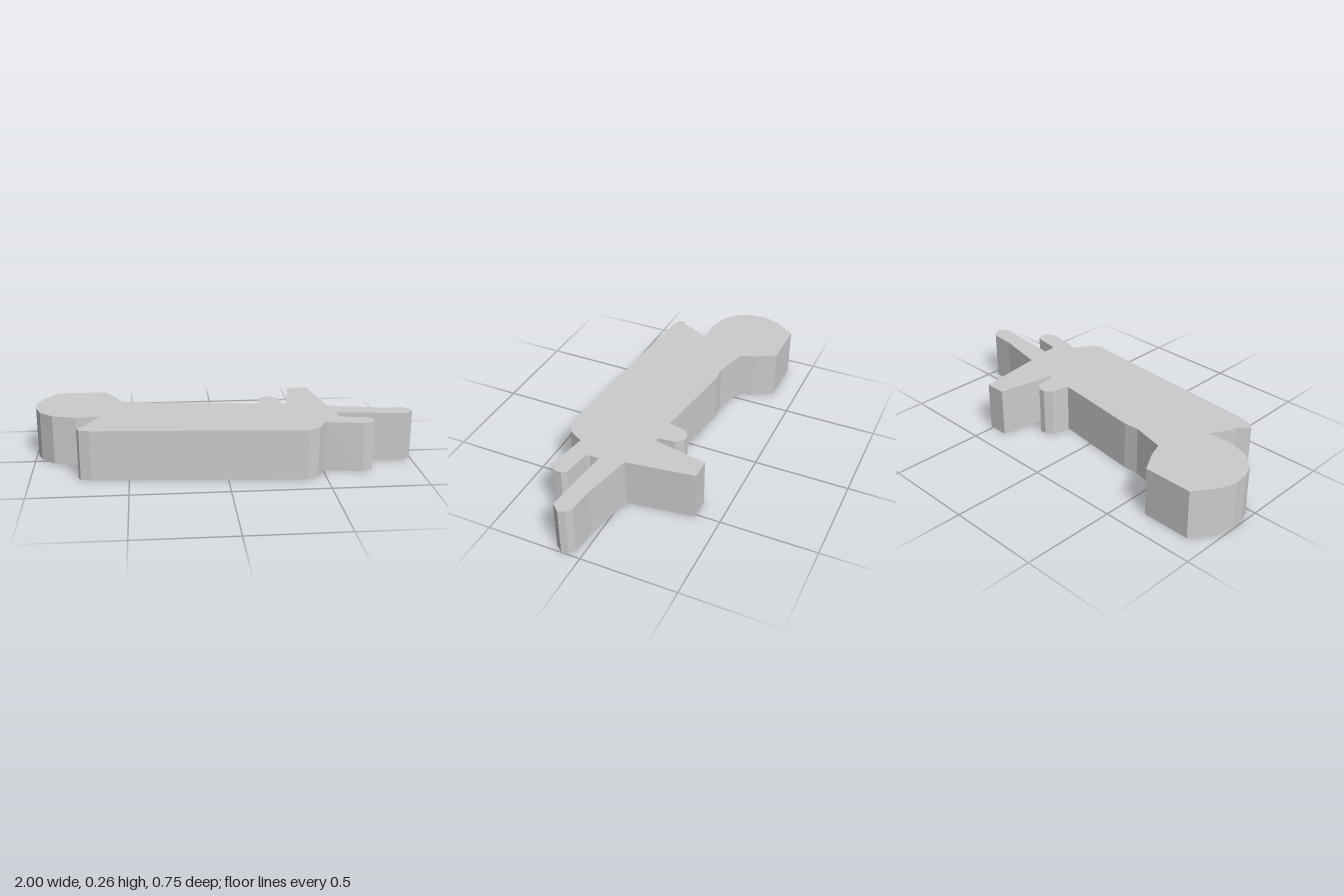
import * as THREE from 'three';

const HEIGHT = 0.263;

// Plan outline as [x, z] runs, followed around the plate.
const roundedEnd = [
  [-0.64, 0.063], [-0.77, 0.077], [-0.895, 0.04], [-0.965, -0.03], [-0.99, -0.095],
  [-1, -0.175], [-0.965, -0.27], [-0.89, -0.375], [-0.63, -0.375], [-0.57, -0.27], [-0.54, -0.19],
];
const backEdge = [[-0.365, -0.147], [-0.285, -0.153], [0.195, -0.092]];
const smallTab = [
  [0.215, -0.187], [0.25, -0.215], [0.285, -0.215], [0.32, -0.18], [0.33, -0.09], [0.35, -0.077],
];
const tallFin = [[0.405, -0.375], [0.515, -0.375], [0.565, -0.022]];
const longProng = [
  [0.83, 0.033], [0.96, 0.043], [0.99, 0.066], [1, 0.1], [0.965, 0.142], [0.59, 0.105],
];
const shortProng = [
  [0.59, 0.155], [0.6, 0.174], [0.74, 0.195], [0.76, 0.22], [0.757, 0.262], [0.7, 0.288], [0.505, 0.255],
];
const frontEdge = [[0.46, 0.338], [0.405, 0.37], [-0.69, 0.296]];
const frontCorner = [[-0.745, 0.278], [-0.757, 0.254], [-0.71, 0.203], [-0.7, 0.165]];

export function createModel() {
  const outline = [
    ...roundedEnd, ...backEdge, ...smallTab, ...tallFin,
    ...longProng, ...shortProng, ...frontEdge, ...frontCorner,
  ];
  const shape = new THREE.Shape(outline.map(([x, z]) => new THREE.Vector2(x, -z)));

  // Lay the extruded outline flat on the ground.
  const geometry = new THREE.ExtrudeGeometry(shape, { depth: HEIGHT, bevelEnabled: false });
  geometry.rotateX(-Math.PI / 2);

  const plate = new THREE.Mesh(
    geometry,
    new THREE.MeshStandardMaterial({ color: 0xcccccc, flatShading: true }),
  );
  plate.name = 'extrudedPlate';

  const model = new THREE.Group();
  model.name = 'model';
  model.add(plate);
  return model;
}
